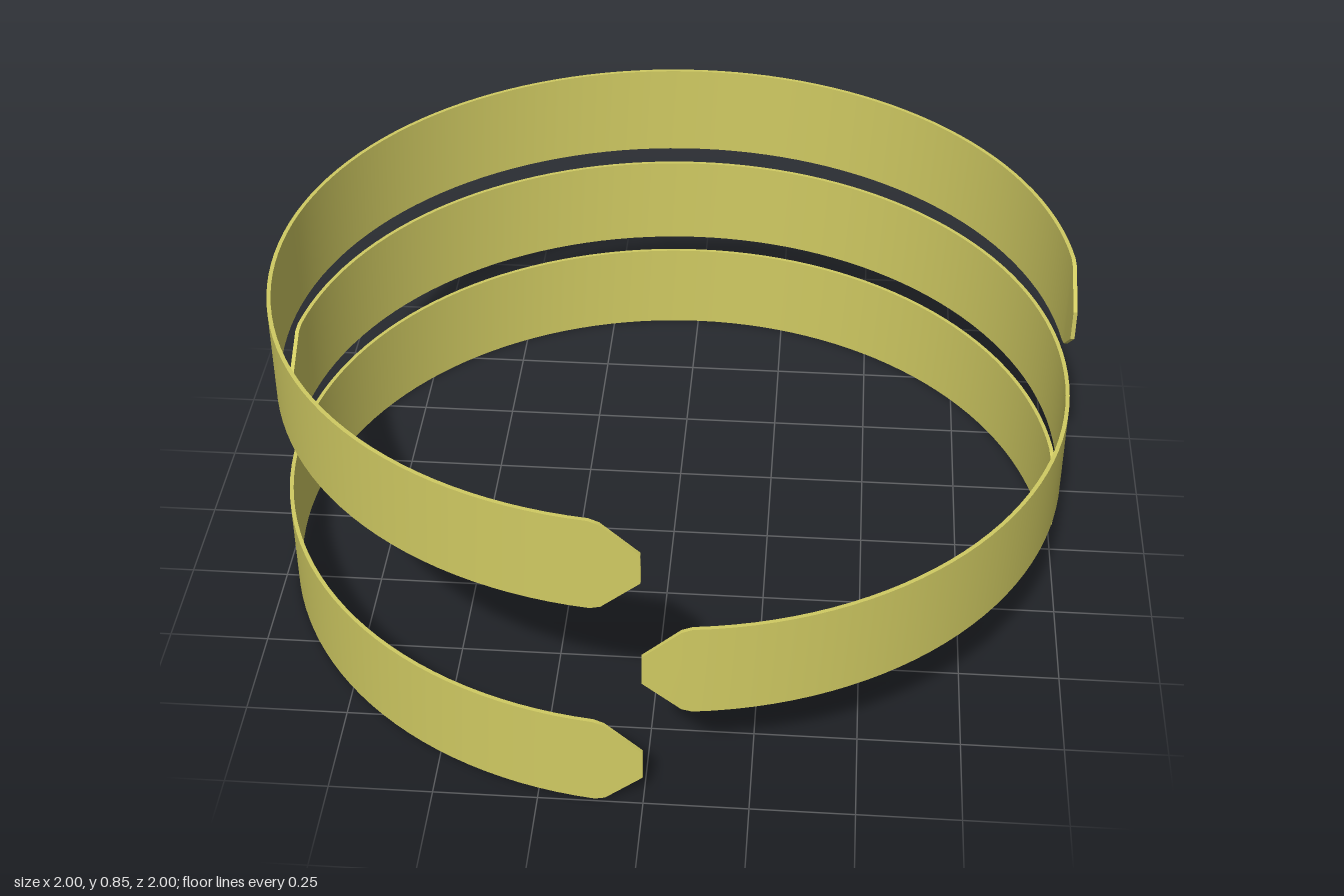
import * as THREE from 'three';
import { toCreasedNormals } from 'three/addons/utils/BufferGeometryUtils.js';

const OUTER = 1, INNER = 0.99, HEIGHT = 0.25, GAP = 0.05;
const SWEEP = Math.PI * 1.5;
// tip outline: [angle from the end, half height]
const TIP = [[0, 0.04], [0.09, 0.117], [0.115, HEIGHT / 2]];

// Three-quarter band with chamfered ends, swept as a thin rectangle around y
function bandGeometry(steps = 96) {
  const stations = [...TIP];
  const a0 = TIP[2][0], a1 = SWEEP - a0;
  for (let i = 1; i < steps; i++) stations.push([a0 + (a1 - a0) * i / steps, HEIGHT / 2]);
  for (const [a, h] of [...TIP].reverse()) stations.push([SWEEP - a, h]);

  const positions = [], index = [];
  for (const [a, h] of stations) {
    for (const [r, y] of [[OUTER, -h], [OUTER, h], [INNER, h], [INNER, -h]]) {
      positions.push(r * Math.sin(a), HEIGHT / 2 + y, r * Math.cos(a));
    }
  }
  const last = stations.length - 1;
  for (let i = 0; i < last; i++) {
    for (let k = 0; k < 4; k++) {
      const a = i * 4 + k, b = i * 4 + (k + 1) % 4;
      index.push(a, a + 4, b + 4, a, b + 4, b);
    }
  }
  // end caps
  const e = last * 4;
  index.push(0, 1, 2, 0, 2, 3, e, e + 2, e + 1, e, e + 3, e + 2);

  const geometry = new THREE.BufferGeometry();
  geometry.setAttribute('position', new THREE.Float32BufferAttribute(positions, 3));
  geometry.setIndex(index);
  return toCreasedNormals(geometry, 0.5);
}

export function createModel() {
  const group = new THREE.Group();
  group.name = 'stackedBands';
  const material = new THREE.MeshStandardMaterial({ color: 0xd0ca62 });
  const geometry = bandGeometry();

  // outer bands open at front +x, the middle one at front -x
  ['bottomBand', 'middleBand', 'topBand'].forEach((name, i) => {
    const band = new THREE.Mesh(geometry, material);
    band.name = name;
    band.position.y = i * (HEIGHT + GAP);
    band.rotation.y = i === 1 ? 0 : Math.PI / 2;
    group.add(band);
  });
  return group;
}
